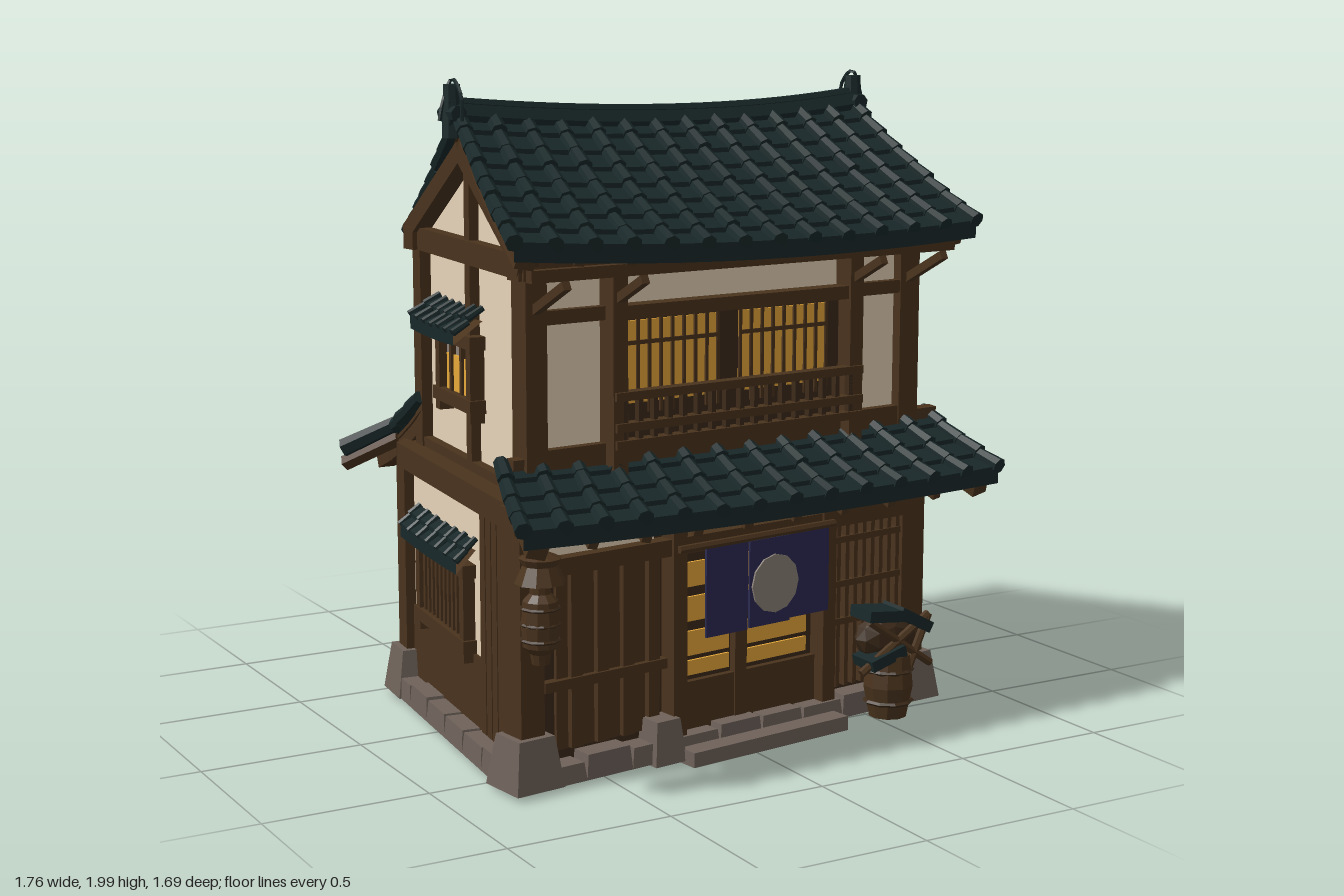
import * as THREE from 'three';
import { mergeGeometries } from 'three/addons/utils/BufferGeometryUtils.js';

const mat = (name, color) => new THREE.MeshStandardMaterial({ name, color, flatShading: true, side: THREE.DoubleSide });
const V = (x, y, z) => new THREE.Vector3(x, y, z);
const UP = V(0, 1, 0);

export function createModel() {
  const root = new THREE.Group();
  const tile = mat('roof tile', 0x192829), wood = mat('wood', 0x4a331d), dark = mat('dark wood', 0x3c2a19);
  const plaster = mat('plaster', 0xe8d5ba), glow = mat('lit paper', 0xfab63e), stone = mat('stone', 0x6e625a);
  const cloth = mat('curtain cloth', 0x2b2a52), grey = mat('emblem grey', 0x8c8279);
  let seed = 7;
  const rnd = () => (seed = (seed * 16807) % 2147483647) / 2147483647;

  const add = (parent, name, geo, m) => {
    const mesh = new THREE.Mesh(geo, m);
    mesh.name = name;
    parent.add(mesh);
    return mesh;
  };
  // Box given by its extents: along the wall, up, and outward
  const box = (p, name, m, x0, x1, y0, y1, z0, z1) => {
    const g = new THREE.BoxGeometry(x1 - x0, y1 - y0, z1 - z0);
    return add(p, name, g.translate((x0 + x1) / 2, (y0 + y1) / 2, (z0 + z1) / 2), m);
  };
  // Round or square bar between two points
  const bar = (a, b, r0, r1 = r0, sides = 6) => {
    const g = new THREE.CylinderGeometry(r0, r1, a.distanceTo(b), sides);
    if (sides === 4) g.rotateY(Math.PI / 4);
    g.applyQuaternion(new THREE.Quaternion().setFromUnitVectors(UP, a.clone().sub(b).normalize()));
    const c = a.clone().add(b).multiplyScalar(0.5);
    return g.translate(c.x, c.y, c.z);
  };

  // Tiled roof slope between a top edge and a bottom edge
  function slope(parent, name, tA, tB, bA, bB, { cols = 13, rows = 7, r = 0.026, sag = 0.03, dip = 0.03, t = 0.04, rafters = 9 } = {}) {
    const g = new THREE.Group();
    g.name = name;
    parent.add(g);
    const P = (u, v, lift = 0) => {
      const p = tA.clone().lerp(tB, u).lerp(bA.clone().lerp(bB, u), v);
      p.y += lift - dip * 4 * u * (1 - u) - sag * 4 * v * (1 - v);
      return p;
    };
    const sweep = (profile) => {
      const pos = [], n = 12;
      for (let i = 0; i < n; i++) for (let j = 0; j + 1 < profile.length; j++) {
        const q = (du, k) => P((i + du) / n, ...profile[k]).toArray();
        const a = q(0, j), b = q(1, j), c = q(1, j + 1), d = q(0, j + 1);
        pos.push(...a, ...d, ...c, ...a, ...c, ...b);
      }
      const geo = new THREE.BufferGeometry();
      geo.setAttribute('position', new THREE.Float32BufferAttribute(pos, 3));
      geo.computeVertexNormals();
      return geo;
    };
    const top = [], under = [], ribs = [], beams = [];
    for (let i = 0; i < rows; i++) {
      top.push([i / rows, 0], [(i + 1) / rows, 0.014]);
      under.unshift([i / rows, -t]);
    }
    top.push([1, -t]);
    under.unshift([1, -t]);
    add(g, 'tileBed', sweep(top), tile);
    add(g, 'roofUnderside', sweep(under), wood);
    for (let c = 0; c <= cols; c++) for (let i = 0; i < rows; i++) {
      const u = c / cols, w = 0.008 * (rnd() - 0.5);
      ribs.push(bar(P(u, i / rows, 0.006 + w), P(u, (i + 1.06) / rows, 0.012 + w), r * 0.82, r, 7));
    }
    add(g, 'tileRibs', mergeGeometries(ribs), tile);
    for (let i = 0; i <= rafters; i++) {
      const u = 0.03 + 0.94 * i / rafters, edge = i === 0 || i === rafters;
      for (let k = 0; k < 4; k++)
        beams.push(bar(P(u, k * 0.235, -t - 0.015), P(u, (k + 1) * 0.235, -t - 0.015), edge ? 0.04 : 0.02, edge ? 0.04 : 0.02, 4));
    }
    if (rafters) add(g, 'rafters', mergeGeometries(beams), wood);
    return g;
  }

  // Wall frame: x runs from corner a to corner b, z points outward
  const wall = (name, a, b) => {
    const f = new THREE.Group();
    f.name = name;
    f.position.set(a[0], 0, a[1]);
    f.rotation.y = Math.atan2(a[1] - b[1], b[0] - a[0]);
    f.userData.len = Math.hypot(b[0] - a[0], b[1] - a[1]);
    root.add(f);
    return f;
  };
  // Barred window with its own little tiled awning
  function barWindow(f, x0, x1, y0, y1, bars, reach, back, lit) {
    box(f, 'windowBack', back, x0, x1, y0, y1, 0, 0.02);
    if (lit) box(f, 'windowLight', glow, lit[0], lit[1], lit[2], lit[3], 0.02, 0.028);
    for (let i = 1; i <= bars; i++) {
      const x = x0 + (x1 - x0) * i / (bars + 1);
      box(f, 'windowBar', wood, x - 0.009, x + 0.009, y0, y1, 0.02, 0.036);
    }
    for (const y of [y0, y1]) box(f, 'windowRail', wood, x0 - 0.03, x1 + 0.03, y - 0.02, y + 0.02, 0, 0.05);
    for (const x of [x0, x1]) box(f, 'windowJamb', wood, x - 0.018, x + 0.018, y0 - 0.05, y1, 0, 0.045);
    slope(f, 'windowAwning', V(x0 - 0.05, y1 + 0.1, 0.015), V(x1 + 0.05, y1 + 0.1, 0.015), V(x0 - 0.06, y1 + 0.035, reach),
      V(x1 + 0.06, y1 + 0.035, reach), { cols: 6, rows: 2, r: 0.012, sag: 0, dip: 0.005, t: 0.03, rafters: 0 });
  }

  // Plan corners: front left, front right, back right, back left (cut off at ground level)
  const L = [[-0.75, 0.61], [0.7, 0.42], [0.6, -0.61], [-0.52, -0.52], [-0.64, -0.4]];
  const U = [[-0.69, 0.54], [0.68, 0.41], [0.62, -0.44], [-0.6, -0.35]];
  const ring = (plan, names) => names.map((s, i) => wall(s, plan[i], plan[(i + 1) % plan.length]));
  const low = ring(L, ['frontLowerWall', 'rightLowerWall', 'backLowerWall', 'cutCornerWall', 'leftLowerWall']);
  const high = ring(U, ['frontUpperWall', 'rightUpperWall', 'backUpperWall', 'leftUpperWall']);

  low.forEach((f, i) => {
    const n = f.userData.len;
    box(f, 'boards', dark, 0, n, 0.03, 0.8, -0.03, 0);
    if (i) {
      box(f, 'plasterPanel', plaster, 0.03, i === 4 ? 0.68 : n - 0.03, 0.3, 0.75, 0, 0.008);
      box(f, 'skirtBoards', wood, 0, n, 0.06, 0.3, 0, 0.015);
    }
    const over = i > 1 ? 0.02 : 0.06;
    box(f, 'beltBeam', wood, -over, n + over, 0.755, 0.83, -0.03, 0.045);
    box(f, 'cornerPost', wood, -0.04, 0.04, 0.05, 0.8, -0.05, 0.04);
    // Foundation stones
    const count = Math.max(1, Math.round(n / 0.17));
    for (let k = 0; k < count; k++) {
      const h = 0.055 + 0.02 * rnd();
      const s = add(f, 'foundationStone', new THREE.CylinderGeometry(0.64, 0.71, h, 4).rotateY(Math.PI / 4), stone);
      s.scale.set(n / count, 1, 0.1);
      s.position.set((k + 0.5) * n / count, h / 2 + 0.015, 0.025);
    }
    const c = add(f, 'cornerStone', new THREE.CylinderGeometry(0.085, 0.115, 0.15, 4).rotateY(Math.PI / 4), stone);
    c.position.set(0, 0.09, 0);
  });
  high.forEach((f, i) => {
    const n = f.userData.len;
    box(f, 'plasterWall', plaster, 0, n, 0.78, 1.5, -0.03, 0);
    box(f, 'cornerPost', wood, -0.035, 0.035, 0.8, 1.5, -0.04, 0.035);
    box(f, 'topBeam', wood, -0.06, n + 0.06, 1.45, 1.52, -0.02, 0.04);
    box(f, 'sillBeam', wood, 0, n, 0.8, i ? 0.86 : 0.965, -0.02, 0.03);
    if (i % 2 === 0) box(f, 'headBeam', wood, 0, n, 1.32, 1.36, 0, 0.03);
    else {
      // Gable end with king post
      const mid = i === 1 ? 0.42 : 0.46;
      const tri = new THREE.Shape([new THREE.Vector2(0, 1.5), new THREE.Vector2(n, 1.5), new THREE.Vector2(mid, 1.8)]);
      add(f, 'gable', new THREE.ExtrudeGeometry(tri, { depth: 0.03, bevelEnabled: false }).translate(0, 0, -0.03), plaster);
      box(f, 'kingPost', wood, mid - 0.022, mid + 0.022, 0.84, 1.78, 0, 0.03);
      for (const x of [-0.06, n + 0.06])
        add(f, 'gableRafter', bar(V(mid, 1.78, 0.025), V(x, 1.49, 0.025), 0.042, 0.042, 4), wood);
    }
  });
  // Ceiling of the lower floor
  const floor = new THREE.Shape(L.map(([x, z]) => new THREE.Vector2(x, -z)));
  add(root, 'upperFloor', new THREE.ExtrudeGeometry(floor, { depth: 0.02, bevelEnabled: false }).rotateX(-Math.PI / 2).translate(0, 0.79, 0), dark);

  // Front ground floor: shutters, door, lattice
  const f = low[0];
  for (let i = 0; i < 8; i++) box(f, 'shutterBoard', wood, 0.1 + i * 0.046, 0.14 + i * 0.046, 0.1, 0.62, 0, 0.012 + 0.01 * (i % 2));
  for (let i = 0; i < 8; i++) box(f, 'latticeBar', wood, 1.15 + i * 0.035, 1.165 + i * 0.035, 0.1, 0.63, 0, 0.025);
  for (const y of [0.3, 0.42, 0.56]) box(f, 'latticeRail', wood, 1.13, 1.42, y, y + 0.02, 0, 0.03);
  box(f, 'shutterRail', wood, 0.05, 0.5, 0.28, 0.31, 0, 0.03);
  for (const [a, b] of [[0.07, 0.45], [1.13, 1.4]]) box(f, 'upperPlaster', plaster, a, b, 0.67, 0.74, 0, 0.009);
  box(f, 'lintel', wood, 0, 1.46, 0.62, 0.67, 0, 0.05);
  for (const x of [0.51, 1.09]) box(f, 'doorPost', wood, x - 0.025, x + 0.025, 0.05, 0.76, 0, 0.06);
  box(f, 'doorPanel', wood, 0.53, 1.07, 0.06, 0.22, 0, 0.02);
  for (const [a, b] of [[0.535, 0.735], [0.8, 1.04]]) for (const y of [0.235, 0.295, 0.4, 0.505])
    box(f, 'doorPane', glow, a, b, y, y + (y < 0.25 ? 0.045 : 0.075), -0.036, 0.008);
  box(f, 'doorStile', wood, 0.745, 0.79, 0.06, 0.62, 0, 0.025);
  // Curtain of three strips with a plain disc
  for (let i = 0; i < 3; i++) box(f, 'curtainStrip', cloth, 0.6 + i * 0.16, 0.757 + i * 0.16, 0.36 + 0.005 * i, 0.63, 0.06 + 0.006 * (i % 2), 0.068 + 0.006 * (i % 2));
  add(f, 'curtainDisc', new THREE.CylinderGeometry(0.09, 0.09, 0.006, 12).rotateX(Math.PI / 2).translate(0.855, 0.49, 0.078), grey);
  add(f, 'curtainRod', bar(V(0.5, 0.64, 0.065), V(1.1, 0.64, 0.065), 0.012), wood);
  // Door step and flanking stone
  box(f, 'doorStep', stone, 0.5, 1.1, 0, 0.045, 0, 0.14);
  const post = add(f, 'doorStone', new THREE.CylinderGeometry(0.06, 0.08, 0.13, 4).rotateY(Math.PI / 4), stone);
  post.position.set(0.45, 0.075, 0.04);
  // Barrel under a teal cover with leaning sticks
  const barrel = new THREE.Group();
  barrel.name = 'barrel';
  barrel.position.set(0.54, 0.01, 0.56);
  root.add(barrel);
  add(barrel, 'barrelBody', new THREE.LatheGeometry([[0, 0], [0.06, 0], [0.08, 0.1], [0.07, 0.2], [0, 0.2]].map(([x, y]) => new THREE.Vector2(x, y)), 10), wood);
  for (const y of [0.05, 0.15]) add(barrel, 'hoop', new THREE.TorusGeometry(0.075, 0.007, 4, 10).rotateX(Math.PI / 2).translate(0, y, 0), dark);
  add(barrel, 'bundle', new THREE.IcosahedronGeometry(0.1, 1).scale(1.1, 0.75, 0.6).translate(0, 0.25, -0.02), dark);
  for (const [x, y, tilt] of [[-0.05, 0.335, -0.1], [0.06, 0.31, -0.5], [-0.04, 0.2, 0.3]]) {
    const c = add(barrel, 'cover', new THREE.BoxGeometry(0.13, 0.035, 0.11), tile);
    c.position.set(x, y, 0.01);
    c.rotation.z = tilt;
  }
  for (const [a, b] of [[-0.13, 0.12], [0.13, -0.1], [0.05, 0.12]]) add(barrel, 'stick', bar(V(a, 0.16, 0.04), V(b, 0.32, 0.04), 0.013), wood);

  // Front upper window with balcony rail
  const h = high[0];
  box(h, 'windowRecess', dark, 0.26, 1.13, 0.96, 1.34, 0, 0.012);
  for (const x0 of [0.31, 0.72]) {
    box(h, 'litPanel', glow, x0, x0 + 0.33, 1.07, 1.31, 0.012, 0.02);
    for (let i = 0; i <= 8; i++) box(h, 'windowBar', wood, x0 + i * 0.041 - 0.005, x0 + i * 0.041 + 0.005, 1.04, 1.32, 0.02, 0.026);
    box(h, 'windowCrossbar', wood, x0, x0 + 0.33, 1.24, 1.252, 0.02, 0.026);
  }
  for (const x of [0.26, 1.13]) box(h, 'windowPost', wood, x - 0.025, x + 0.025, 0.86, 1.45, 0, 0.07);
  for (const y of [0.95, 1.0, 1.09]) box(h, 'balconyRail', wood, 0.24, 1.15, y, y + 0.025, 0.04, 0.08);
  for (let i = 0; i <= 16; i++) box(h, 'baluster', dark, 0.27 + i * 0.052, 0.285 + i * 0.052, 0.96, 1.1, 0.05, 0.07);
  box(h, 'windowHood', wood, 0.24, 1.15, 1.32, 1.36, 0, 0.06);
  // Eave beam on brackets under the front roof
  box(h, 'eaveBeam', wood, -0.08, 1.46, 1.455, 1.49, 0.11, 0.14);
  for (const x of [0, 0.26, 1.13, 1.37]) add(h, 'eaveBracket', bar(V(x, 1.36, 0.02), V(x, 1.45, 0.19), 0.018, 0.018, 4), wood);

  // Side windows
  barWindow(low[1], 0.27, 0.7, 0.32, 0.55, 10, 0.08, dark, [0.47, 0.505, 0.34, 0.52]);
  barWindow(high[1], 0.43, 0.7, 1.03, 1.22, 2, 0.07, grey, [0.53, 0.6, 1.06, 1.12]);
  box(high[1], 'palePane', plaster, 0.53, 0.6, 1.13, 1.2, 0.02, 0.028);
  barWindow(low[4], 0.18, 0.6, 0.32, 0.55, 10, 0.08, dark, [0.3, 0.335, 0.34, 0.52]);
  barWindow(high[3], 0.22, 0.5, 1.03, 1.22, 2, 0.11, grey, [0.26, 0.46, 1.05, 1.16]);
  for (let i = 0; i < 6; i++) box(low[4], 'sideDoorBoard', wood, 0.7 + i * 0.05, 0.742 + i * 0.05, 0.08, 0.75, 0, 0.02);
  // Back windows, boards and posts
  barWindow(low[2], 0.13, 0.58, 0.3, 0.49, 9, 0.13, dark);
  barWindow(high[2], 0.2, 0.55, 1.02, 1.18, 5, 0.2, grey);
  for (const x of [0.66, 0.9]) box(low[2], 'backPost', wood, x, x + 0.045, 0.1, 0.76, 0, 0.03);
  for (let i = 0; i < 13; i++) box(low[2], 'backBoard', dark, 0.05 + i * 0.08, 0.115 + i * 0.08, 0.07, 0.29, 0, 0.024);
  box(high[2], 'backPost', wood, 0.68, 0.72, 0.85, 1.45, 0, 0.03);

  // Roofs
  const rA = V(-0.7, 1.88, 0.11), rB = V(0.75, 1.88, 0);
  slope(root, 'frontMainRoof', rA, rB, V(-0.84, 1.565, 0.75), V(0.85, 1.53, 0.55), { rows: 8, dip: 0.03, sag: 0.015 });
  slope(root, 'backMainRoof', rB.clone().setX(0.7), rA, V(0.61, 1.46, -0.66), V(-0.57, 1.48, -0.55), { cols: 11, rows: 8, sag: 0.018 });
  slope(root, 'frontLowerRoof', V(-0.78, 0.93, 0.53), V(0.78, 0.93, 0.38), V(-0.86, 0.795, 0.83), V(0.85, 0.78, 0.69), { rows: 4, sag: 0.008, dip: 0.015 });
  slope(root, 'backLowerRoof', V(0.57, 0.98, -0.44), V(-0.64, 0.98, -0.33), V(0.53, 0.77, -0.81), V(-0.64, 0.77, -0.72), { cols: 11, rows: 5, sag: 0.02, dip: 0.01 });
  add(root, 'lowerRoofLedger', bar(V(-0.76, 0.93, 0.55), V(0.8, 0.93, 0.41), 0.025, 0.025, 4), wood);
  // Diagonal hip tiles at the back corners
  for (const [x0, z0, x1, z1] of [[0.58, -0.62, 0.67, -0.83], [0.62, -0.64, 0.73, -0.81], [-0.63, -0.53, -0.77, -0.65]]) {
    add(root, 'hipTile', bar(V(x0, 0.87, z0), V(x1, 0.78, z1), 0.026, 0.032), tile);
    add(root, 'hipBeam', bar(V(x0, 0.82, z0), V(x1, 0.73, z1), 0.025, 0.025, 4), wood);
  }

  // Ridge with end blocks and curled finials
  const ridge = (dy) => new THREE.QuadraticBezierCurve3(V(-0.74, 1.9 + dy, 0.115), V(0.12, 1.82 + dy, 0.05), V(0.78, 1.9 + dy, 0));
  add(root, 'ridgeBed', new THREE.TubeGeometry(ridge(-0.01), 20, 0.038, 6), tile);
  add(root, 'ridgeCap', new THREE.TubeGeometry(ridge(0.025), 20, 0.018, 6), tile);
  for (const [x, z, s] of [[-0.72, 0.11, -1], [0.76, 0, 1]]) {
    add(root, 'ridgeEnd', bar(V(x, 1.975, z), V(x, 1.82, z), 0.026, 0.032, 8), tile);
    add(root, 'ridgeEndCross', bar(V(x, 1.89, z + 0.05), V(x, 1.89, z - 0.05), 0.026, 0.026, 7), tile);
    const curl = new THREE.CatmullRomCurve3([V(x, 1.87, z + 0.07 * -s), V(x, 1.95, z + 0.06 * -s), V(x, 1.99, z), V(x + 0.03 * s, 1.92, z), V(x + 0.04 * s, 1.87, z)]);
    add(root, 'ridgeCurl', new THREE.TubeGeometry(curl, 14, 0.006, 5), tile);
  }

  // Hanging lantern at the front left eave
  const lantern = add(root, 'lantern', new THREE.LatheGeometry([[0, 0.41], [0.025, 0.41], [0.03, 0.44], [0.05, 0.46], [0.055, 0.52], [0.05, 0.59], [0.03, 0.61], [0.03, 0.63],
    [0.072, 0.64], [0.05, 0.69], [0.06, 0.71], [0.012, 0.73], [0.01, 0.76]].map(([x, y]) => new THREE.Vector2(x, y)), 10), wood);
  lantern.position.set(-0.77, 0, 0.75);
  for (const y of [0.48, 0.525, 0.57]) add(root, 'lanternRing', new THREE.TorusGeometry(0.054, 0.005, 4, 10).rotateX(Math.PI / 2).translate(-0.77, y, 0.75), dark);
  return root;
}
